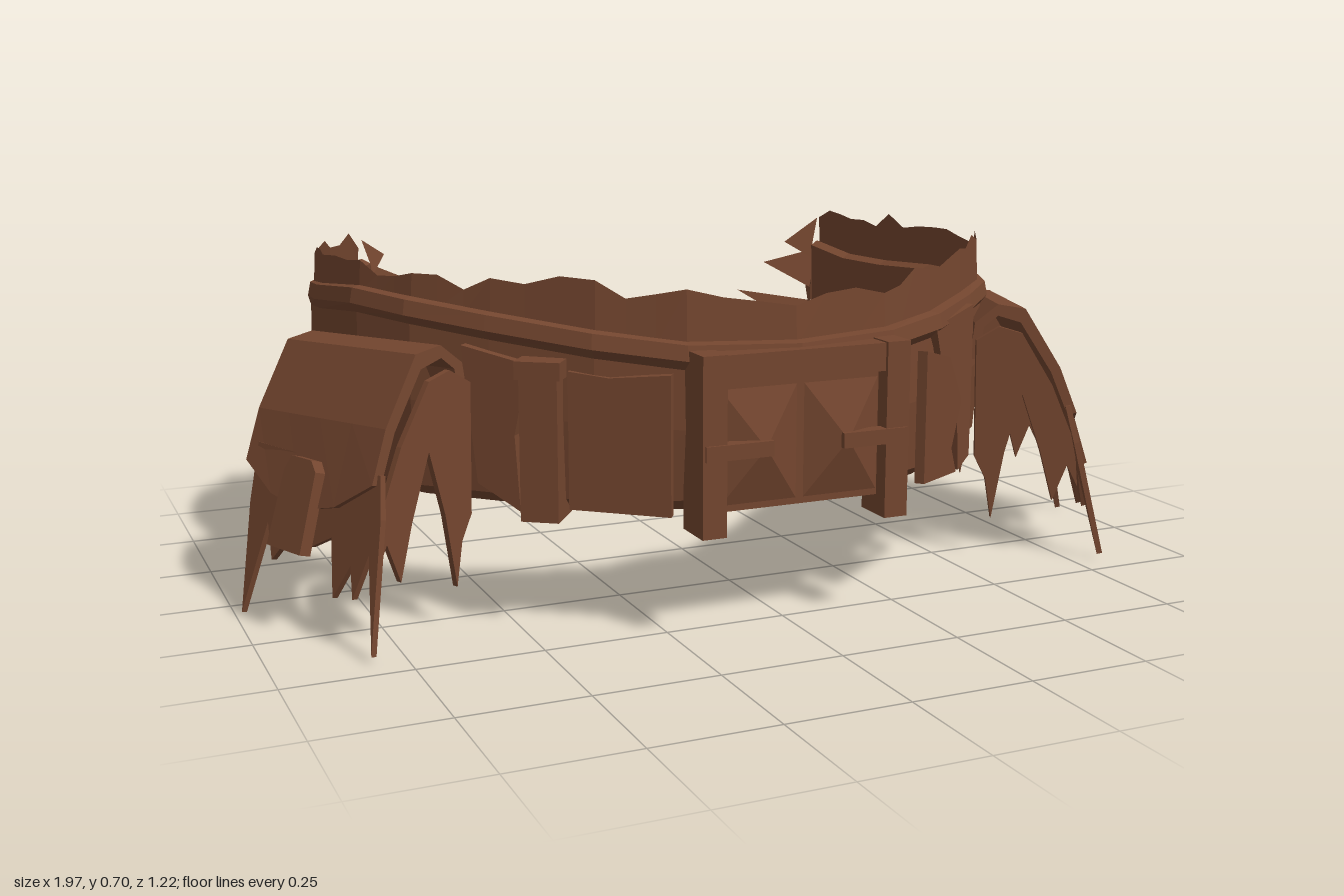
import * as THREE from 'three';

const leather = new THREE.MeshStandardMaterial({ color: 0x74462f, flatShading: true, side: THREE.DoubleSide });
leather.name = 'brown leather';

let seed = 7;
const rand = () => (seed = (seed * 16807) % 2147483647) / 2147483647;

// Belt from one torn end round the front to the other: x, z, bottom, rim, torn top, rim overhang
const stations = [
  [-0.57, -0.57, 0.22, 0.63, 0.68, 0.026], [-0.66, -0.46, 0.22, 0.62, 0.69, 0.026],
  [-0.72, -0.34, 0.23, 0.62, 0.69, 0.026], [-0.74, -0.16, 0.24, 0.64, 0.7, 0.03],
  [-0.71, 0.04, 0.25, 0.66, 0.7, 0.035], [-0.64, 0.16, 0.25, 0.65, 0.69, 0.04],
  [-0.52, 0.28, 0.25, 0.63, 0.69, 0.04], [-0.36, 0.42, 0.25, 0.605, 0.69, 0.04],
  [-0.21, 0.5, 0.255, 0.585, 0.67, 0.04], [0, 0.535, 0.26, 0.58, 0.645, 0.04],
  [0.21, 0.5, 0.255, 0.585, 0.66, 0.04], [0.36, 0.42, 0.25, 0.595, 0.69, 0.04],
  [0.52, 0.28, 0.25, 0.605, 0.705, 0.04], [0.64, 0.16, 0.25, 0.61, 0.7, 0.035],
  [0.71, 0.04, 0.25, 0.605, 0.695, 0.028], [0.74, -0.18, 0.24, 0.595, 0.69, 0.024],
  [0.72, -0.36, 0.23, 0.585, 0.69, 0.024], [0.68, -0.48, 0.225, 0.59, 0.69, 0.024],
  [0.64, -0.58, 0.22, 0.615, 0.68, 0.024],
];

// Outward direction (x, z) at a station
function outward(i) {
  const a = stations[Math.max(i - 1, 0)], b = stations[Math.min(i + 1, stations.length - 1)];
  const dx = b[0] - a[0], dz = b[1] - a[1], l = Math.hypot(dx, dz);
  return [-dz / l, dx / l];
}

function surface(points, index) {
  const g = new THREE.BufferGeometry();
  g.setAttribute('position', new THREE.Float32BufferAttribute(points, 3));
  g.setIndex(index);
  g.computeVertexNormals();
  return g;
}

function add(parent, name, geometry, x = 0, y = 0, z = 0) {
  const m = new THREE.Mesh(geometry, leather);
  m.name = name;
  m.position.set(x, y, z);
  parent.add(m);
  return m;
}

function slab(points, depth, steps = 1) {
  const shape = new THREE.Shape(points.map(p => new THREE.Vector2(...p)));
  return new THREE.ExtrudeGeometry(shape, { depth, steps, bevelEnabled: false });
}

// Closed band with an overhanging rim
function bandGeometry() {
  const pts = [], idx = [], n = 9, last = stations.length - 1;
  stations.forEach(([x, z, b, r, , rim], i) => {
    const [nx, nz] = outward(i), m = (b + r) / 2;
    const section = [[-0.02, b], [0.012, b + 0.025], [0.024, m], [0.02, r - 0.05], [rim, r - 0.03],
      [rim - 0.006, r], [0, r + 0.005], [-0.022, r - 0.005], [-0.015, m]];
    for (const [o, y] of section) pts.push(x + nx * o, y, z + nz * o);
    for (let j = 0; j < n && i < last; j++) {
      const a = i * n + j, c = i * n + (j + 1) % n;
      idx.push(a, a + n, c + n, a, c + n, c);
    }
  });
  for (let j = 1; j < n - 1; j++) idx.push(0, j, j + 1, last * n, last * n + j + 1, last * n + j);
  return surface(pts, idx);
}

// Ragged edge standing above the rim
function fringeGeometry() {
  const pts = [], idx = [], steps = 3, last = stations.length - 1;
  for (let k = 0; k <= last * steps; k++) {
    const i = Math.min(Math.floor(k / steps), last - 1), f = k / steps - i;
    const s = stations[i].map((v, c) => v + (stations[i + 1][c] - v) * f);
    const n0 = outward(i), n1 = outward(i + 1);
    const nx = n0[0] + (n1[0] - n0[0]) * f, nz = n0[1] + (n1[1] - n0[1]) * f;
    const top = s[4] + (rand() - 0.5) * 0.04;
    pts.push(s[0] + nx * 0.012, s[3] - 0.01, s[1] + nz * 0.012);
    pts.push(s[0] + nx * 0.008, top, s[1] + nz * 0.008);
    if (k) { const a = k * 2; idx.push(a - 2, a, a + 1, a - 2, a + 1, a - 1); }
  }
  return surface(pts, idx);
}

// Torn triangles trailing off a belt end: upper y, lower y, tip reach x, tip y, reach z
function tatters(i, list) {
  const pts = [], idx = [], [x, z] = stations[i], s = -Math.sign(x);
  list.forEach(([y1, y0, dx, ty, dz], k) => {
    pts.push(x, y1, z, x + s * 0.025, y0, z + 0.01, x + s * dx, ty, z + dz);
    idx.push(k * 3, k * 3 + 1, k * 3 + 2);
  });
  return surface(pts, idx);
}

// Group on the belt whose local z faces outward
function onBelt(root, i, name) {
  const g = new THREE.Group(), [nx, nz] = outward(i);
  g.name = name;
  g.position.set(stations[i][0], 0, stations[i][1]);
  g.rotation.y = Math.atan2(nx, nz);
  root.add(g);
  return g;
}

function makePouch() {
  const p = new THREE.Group();
  // Folded cover, running along local z, its lower edge curving up at both ends
  const cover = slab([[-0.03, 0.44], [-0.02, 0.52], [0.03, 0.56], [0.09, 0.55], [0.17, 0.42], [0.23, 0.25],
    [0.21, 0.245], [0.15, 0.41], [0.08, 0.52], [0.03, 0.535], [0, 0.51], [-0.01, 0.44]], 0.42, 4);
  const pos = cover.attributes.position;
  for (let i = 0; i < pos.count; i++) {
    const lift = 0.07 * (pos.getZ(i) / 0.21 - 1) ** 2;
    if (pos.getY(i) < 0.3) pos.setXYZ(i, pos.getX(i) - lift * 0.3, pos.getY(i) + lift, pos.getZ(i));
  }
  add(p, 'pouchCover', cover, 0, -0.005, -0.21).rotation.x = -0.05;
  // Torn hanging edge below the cover
  const hem = slab([[-0.2, 0.08], [0.2, 0.08], [0.22, 0], [0.25, -0.25], [0.2, -0.07], [0.17, -0.16],
    [0.15, -0.1], [0.11, -0.17], [0.08, -0.06], [0.02, -0.09], [-0.05, -0.08], [-0.1, -0.14], [-0.13, -0.07],
    [-0.175, -0.262], [-0.2, -0.04]], 0.012).rotateY(-Math.PI / 2);
  add(p, 'pouchTornEdge', hem, 0.212, 0.275, 0).rotation.z = 0.22;
  // Fastening tab
  const tab = slab([[-0.055, -0.1], [0.055, -0.1], [0.05, 0.06], [0.03, 0.08], [-0.035, 0.08], [-0.05, 0.05]], 0.025)
    .rotateY(-Math.PI / 2);
  add(p, 'pouchTab', tab, 0.245, 0.28, -0.01).rotation.z = 0.3;
  // Ragged end panels
  const end = slab([[-0.02, 0.5], [0.03, 0.53], [0.08, 0.515], [0.15, 0.4], [0.205, 0.27], [0.215, 0.17], [0.19, 0.22],
    [0.16, 0.14], [0.13, 0.25], [0.085, 0.38], [0.05, 0.25], [0.025, 0.1], [0.01, 0.19], [-0.015, 0.24]], 0.014);
  for (const z of [-0.207, 0.193]) add(p, 'pouchEndPanel', end, 0, 0, z);
  return p;
}

export function createModel() {
  const root = new THREE.Group();
  root.name = 'tornBelt';
  add(root, 'beltBand', bandGeometry());
  add(root, 'beltTornRim', fringeGeometry());
  add(root, 'rightTornEnd', tatters(0, [[0.68, 0.6, 0.06, 0.64, -0.03], [0.63, 0.5, 0.11, 0.58, -0.03],
    [0.54, 0.42, 0.08, 0.5, -0.03], [0.44, 0.28, 0.03, 0.37, -0.02]]));
  add(root, 'leftTornEnd', tatters(18, [[0.68, 0.58, 0.09, 0.62, -0.01], [0.6, 0.5, 0.15, 0.57, -0.01],
    [0.6, 0.44, 0.02, 0.52, -0.03], [0.46, 0.38, 0.22, 0.5, -0.02], [0.31, 0.22, 0, 0.24, -0.01]]));

  // Pouches on both hips
  for (const side of [1, -1]) {
    const half = new THREE.Group(), pouch = makePouch();
    half.name = side > 0 ? 'leftPouch' : 'rightPouch';
    pouch.position.set(0.67, 0, 0.11);
    pouch.rotation.y = -0.4;
    half.scale.x = side;
    half.add(pouch);
    root.add(half);
  }

  // Front buckle
  const buckle = onBelt(root, 9, 'buckle');
  add(buckle, 'bucklePlate', new THREE.BoxGeometry(0.36, 0.25, 0.03), 0, 0.39, 0.015);
  add(buckle, 'buckleTopBar', new THREE.BoxGeometry(0.36, 0.055, 0.075), 0, 0.545, 0.02);
  for (const s of [-1, 1]) {
    add(buckle, 'buckleSideBar', new THREE.BoxGeometry(0.05, 0.35, 0.09), s * 0.195, 0.4, 0.02);
    add(buckle, 'buckleProng', new THREE.BoxGeometry(0.14, 0.03, 0.03), s * 0.145, 0.39, 0.055);
    const stud = new THREE.ConeGeometry(0.115, 0.035, 4).rotateY(Math.PI / 4).rotateX(Math.PI / 2);
    add(buckle, 'buckleStud', stud, s * 0.088, 0.39, 0.047).scale.y = 1.4;
  }

  // Strap loop wrapped round the belt, with layered leather beside it
  const loop = onBelt(root, 7, 'strapLoop');
  add(loop, 'strap', new THREE.BoxGeometry(0.075, 0.31, 0.095), -0.1, 0.395, 0.012);
  add(loop, 'strapTop', new THREE.BoxGeometry(0.09, 0.035, 0.105), -0.1, 0.535, 0.012);
  add(loop, 'patch', slab([[-0.05, 0.26], [0.15, 0.255], [0.15, 0.53], [0.03, 0.52], [-0.05, 0.53]], 0.02), 0, 0, 0.008);
  const second = onBelt(root, 6, 'tornStrap');
  add(second, 'tornStrapFlap', slab([[-0.05, 0.57], [0.09, 0.54], [0.06, 0.4], [0.07, 0.25], [-0.02, 0.3]], 0.025), 0, 0, 0.015);

  // Torn flap on the other side of the buckle
  const flap = onBelt(root, 11, 'tornFlap');
  add(flap, 'flapLayer', slab([[-0.14, 0.54], [0.03, 0.5], [0.13, 0.39], [0.06, 0.3], [0.1, 0.24], [-0.14, 0.27]], 0.02), 0, 0, 0.03)
    .rotation.y = 0.12;
  add(flap, 'flapUpperLayer', slab([[0, 0.57], [0.2, 0.59], [0.2, 0.26], [0.14, 0.24], [0.12, 0.42], [0.03, 0.5]], 0.02), -0.02, 0, 0.015);
  return root;
}
